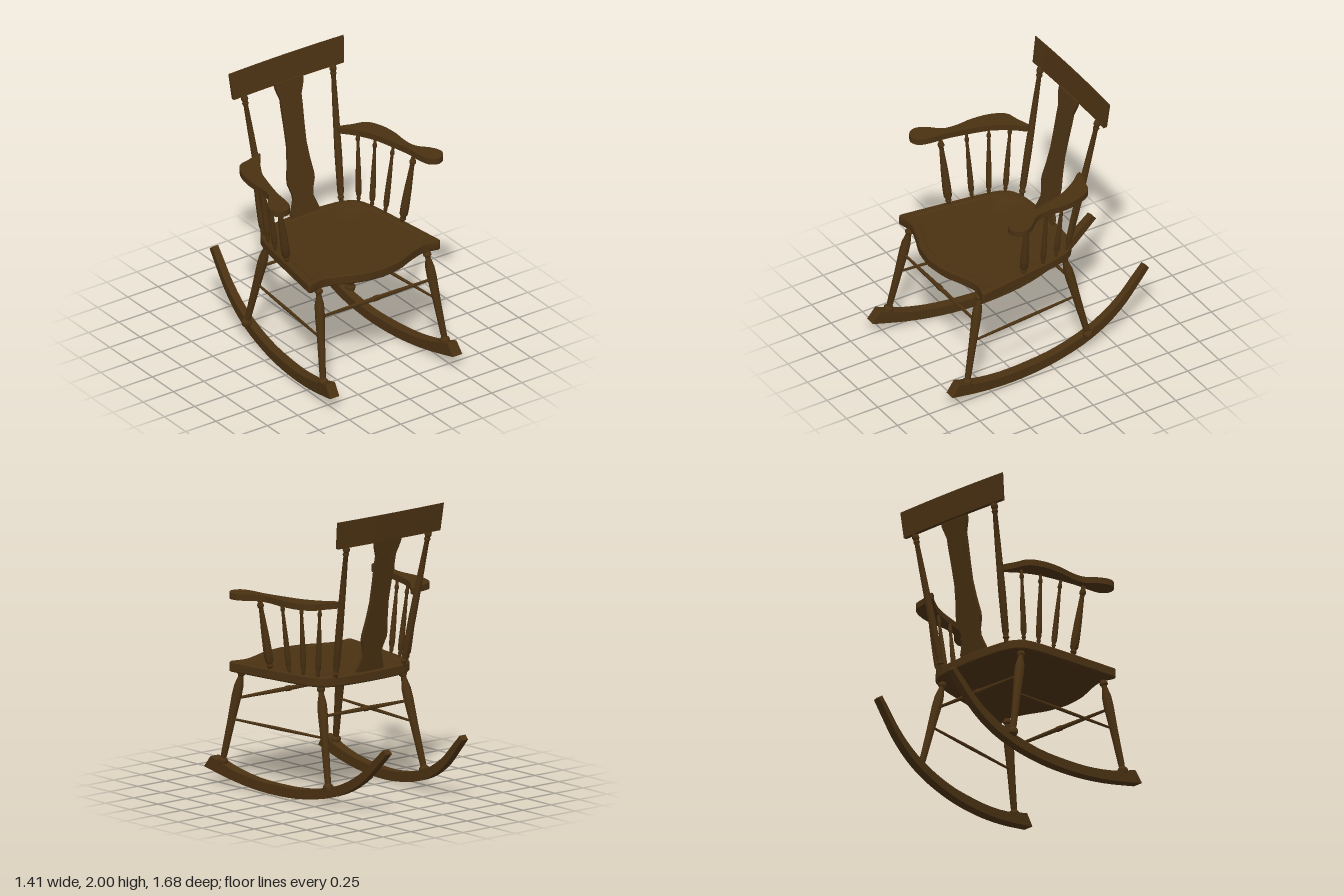
import * as THREE from 'three';
import { toCreasedNormals } from 'three/addons/utils/BufferGeometryUtils.js';

const lerp = THREE.MathUtils.lerp;
const V = (x, y, z) => new THREE.Vector3(x, y, z);

export function createModel() {
  const chair = new THREE.Group();
  chair.name = 'rockingChair';
  const wood = new THREE.MeshStandardMaterial({ color: 0x4a3112 });
  wood.name = 'dark stained wood';

  function add(name, geometry) {
    const mesh = new THREE.Mesh(geometry, wood);
    mesh.name = name;
    chair.add(mesh);
    return mesh;
  }

  // Turned part from a to b; profile rows are [fraction of length, radius]
  function turned(name, a, b, profile) {
    const axis = b.clone().sub(a), len = axis.length();
    const pts = [[0, 0], ...profile, [1, 0]].map(([t, r]) => new THREE.Vector2(r, t * len));
    const mesh = add(name, toCreasedNormals(new THREE.LatheGeometry(pts, 14), 0.7));
    mesh.position.copy(a);
    mesh.quaternion.setFromUnitVectors(V(0, 1, 0), axis.normalize());
  }

  // Move every vertex by a rule
  function warp(geo, rule) {
    const p = geo.attributes.position;
    for (let i = 0; i < p.count; i++) p.setXYZ(i, ...rule(p.getX(i), p.getY(i), p.getZ(i)));
    geo.computeVertexNormals();
    return geo;
  }

  const extrude = (shape, depth) =>
    new THREE.ExtrudeGeometry(shape, { depth, bevelEnabled: false, curveSegments: 8 });

  // Smooth open 2D curve through a few points
  const smooth = (pts, n) => new THREE.CatmullRomCurve3(pts.map(([x, y]) => V(x, y, 0)))
    .getPoints(n).map(p => new THREE.Vector2(p.x, p.y));

  // Seat: stacked outlines with a shallow dished top
  const half = [
    ...smooth([[0, -0.27], [0.18, -0.262], [0.32, -0.24], [0.4, -0.19], [0.44, -0.1], [0.48, 0.12], [0.515, 0.36], [0.545, 0.58]], 28),
    ...smooth([[0.53, 0.595], [0.42, 0.575], [0.31, 0.605], [0.16, 0.665], [0, 0.69]], 16),
  ];
  const outline = [...half, ...half.slice(1, -1).reverse().map(p => new THREE.Vector2(-p.x, p.y))];
  const rings = [[0, 0.8], [0.985, 0.8], [1, 0.808], [1, 0.862], [0.985, 0.87], [0.9, 0.87], [0.88, 0.864], [0.5, 0.858], [0, 0.856]];
  const pos = [], idx = [], n = outline.length;
  rings.forEach(([s, y], i) => outline.forEach((p, j) => {
    pos.push(p.x * s, y, 0.2 + (p.y - 0.2) * s);
    if (i === rings.length - 1) return;
    const a = i * n + j, b = i * n + (j + 1) % n;
    idx.push(a, a + n, b, a + n, b + n, b);
  }));
  const seat = new THREE.BufferGeometry();
  seat.setAttribute('position', new THREE.Float32BufferAttribute(pos, 3));
  seat.setIndex(idx);
  add('seat', toCreasedNormals(seat, 0.5));

  // Crest rail: tapered, slightly bowed board
  add('crestRail', warp(new THREE.BoxGeometry(1, 1, 1, 12, 1, 1), (x, y, z) => {
    const t = y + 0.5;
    return [x * lerp(0.91, 0.95, t), lerp(1.81, 2, t),
      lerp(-0.444, -0.468, t) + z * lerp(0.026, 0.005, t) + 0.04 * x * x];
  }));

  // Back splat: shaped board leaning with the posts
  const side = [
    [0.115, 0.86], [0.115, 0.895], [0.095, 0.945], [0.08, 0.99], [0.085, 1.03], [0.108, 1.1], [0.108, 1.14],
    [0.09, 1.25], [0.078, 1.37], [0.08, 1.5], [0.085, 1.64], [0.085, 1.7], [0.105, 1.755], [0.115, 1.79], [0.115, 1.82],
  ];
  const splat = new THREE.Shape([...side, ...side.slice().reverse().map(([x, y]) => [-x, y])]
    .map(([x, y]) => new THREE.Vector2(x, y)));
  add('backSplat', warp(extrude(splat, 0.022), (x, y, z) =>
    [x, y, z + lerp(-0.245, -0.442, (y - 0.86) / 0.96)]));

  // Turning profiles
  const legProfile = [[0, 0.03], [0.03, 0.036], [0.05, 0.034], [0.07, 0.02], [0.1, 0.022], [0.45, 0.027],
    [0.72, 0.034], [0.82, 0.032], [0.91, 0.019], [0.93, 0.019], [0.945, 0.028], [0.965, 0.028], [0.98, 0.02], [1, 0.02]];
  const postProfile = [[0, 0.016], [0.025, 0.016], [0.035, 0.024], [0.05, 0.017], [0.08, 0.023], [0.35, 0.026],
    [0.7, 0.021], [0.92, 0.016], [0.935, 0.023], [0.95, 0.017], [0.965, 0.025], [0.985, 0.022], [1, 0.017]];
  const spindleProfile = [[0, 0.5], [0.04, 0.5], [0.06, 0.75], [0.09, 0.6], [0.13, 0.95], [0.25, 1], [0.5, 0.85],
    [0.8, 0.55], [0.86, 0.5], [0.88, 0.75], [0.91, 0.75], [0.94, 0.5], [1, 0.5]];
  const barProfile = [[0, 0.009], [0.35, 0.014], [0.47, 0.015], [0.48, 0.019], [0.52, 0.019], [0.53, 0.015], [0.65, 0.014], [1, 0.009]];

  // Spindles: [top x, top z, bottom x, bottom z, radius]
  const spindles = [[0.56, 0.25, 0.475, 0.232, 0.03], [0.515, 0.07, 0.452, 0.063, 0.02],
    [0.475, -0.085, 0.427, -0.055, 0.02], [0.435, -0.232, 0.395, -0.165, 0.02]];

  const armOutline = new THREE.CatmullRomCurve3([
    [0.32, -0.315], [0.43, -0.283], [0.52, -0.257], [0.575, -0.16], [0.595, -0.02], [0.588, 0.11], [0.605, 0.205],
    [0.678, 0.29], [0.706, 0.36], [0.685, 0.415], [0.63, 0.44], [0.575, 0.41], [0.551, 0.33], [0.54, 0.22],
    [0.507, 0.07], [0.46, -0.09], [0.385, -0.22], [0.33, -0.285],
  ].map(([x, z]) => V(x, z, 0)), true).getPoints(60).slice(0, -1);

  const rockerBottom = smooth([[0.84, 0.1], [0.6, 0.045], [0.38, 0.012], [0.15, 0], [-0.05, 0.01], [-0.3, 0.055],
    [-0.48, 0.125], [-0.63, 0.225], [-0.75, 0.345], [-0.838, 0.44]], 24);
  const rockerTop = smooth([[-0.808, 0.468], [-0.72, 0.385], [-0.62, 0.29], [-0.48, 0.198], [-0.3, 0.126],
    [-0.05, 0.077], [0.15, 0.07], [0.38, 0.08], [0.6, 0.12], [0.78, 0.18]], 24);
  const rockerShape = new THREE.Shape([...rockerBottom, ...rockerTop]);

  for (const s of [1, -1]) {
    const side = s > 0 ? 'left' : 'right';

    // Rocker: curved runner converging and narrowing toward the back
    const runner = extrude(rockerShape, 1).translate(0, 0, -0.5).rotateY(-Math.PI / 2);
    warp(runner, (x, y, z) => {
      const t = (z + 0.84) / 1.68;
      return [s * lerp(0.338, 0.508, t) + x * lerp(0.052, 0.077, t), y, z];
    });
    add(side + 'Rocker', toCreasedNormals(runner, 0.5));

    // Armrest
    const arm = new THREE.Shape(armOutline.map(p => new THREE.Vector2(s * p.x, -p.y)));
    const armGeo = extrude(arm, 0.044).rotateX(-Math.PI / 2).translate(0, 1.361, 0);
    add(side + 'Armrest', toCreasedNormals(armGeo, 0.6));

    // Legs and back post
    turned(side + 'FrontLeg', V(s * 0.505, 0.135, 0.7), V(s * 0.445, 0.81, 0.56), legProfile);
    turned(side + 'BackLeg', V(s * 0.43, 0.11, -0.315), V(s * 0.362, 0.81, -0.155), legProfile);
    turned(side + 'BackPost', V(s * 0.302, 0.86, -0.238), V(s * 0.367, 1.82, -0.43), postProfile);

    // Arm spindles
    for (const [tx, tz, bx, bz, r] of spindles)
      turned(side + 'ArmSpindle', V(s * bx, 0.86, bz), V(s * tx, 1.37, tz), spindleProfile.map(([t, k]) => [t, k * r]));

    // Side stretcher
    turned(side + 'SideStretcher', V(s * 0.396, 0.455, -0.235), V(s * 0.476, 0.455, 0.63),
      [[0, 0.008], [0.5, 0.012], [1, 0.008]]);
  }

  // Cross stretchers
  turned('frontStretcher', V(-0.46, 0.6, 0.603), V(0.46, 0.6, 0.603), barProfile);
  turned('backStretcher', V(-0.38, 0.6, -0.203), V(0.38, 0.6, -0.203), barProfile);

  return chair;
}
